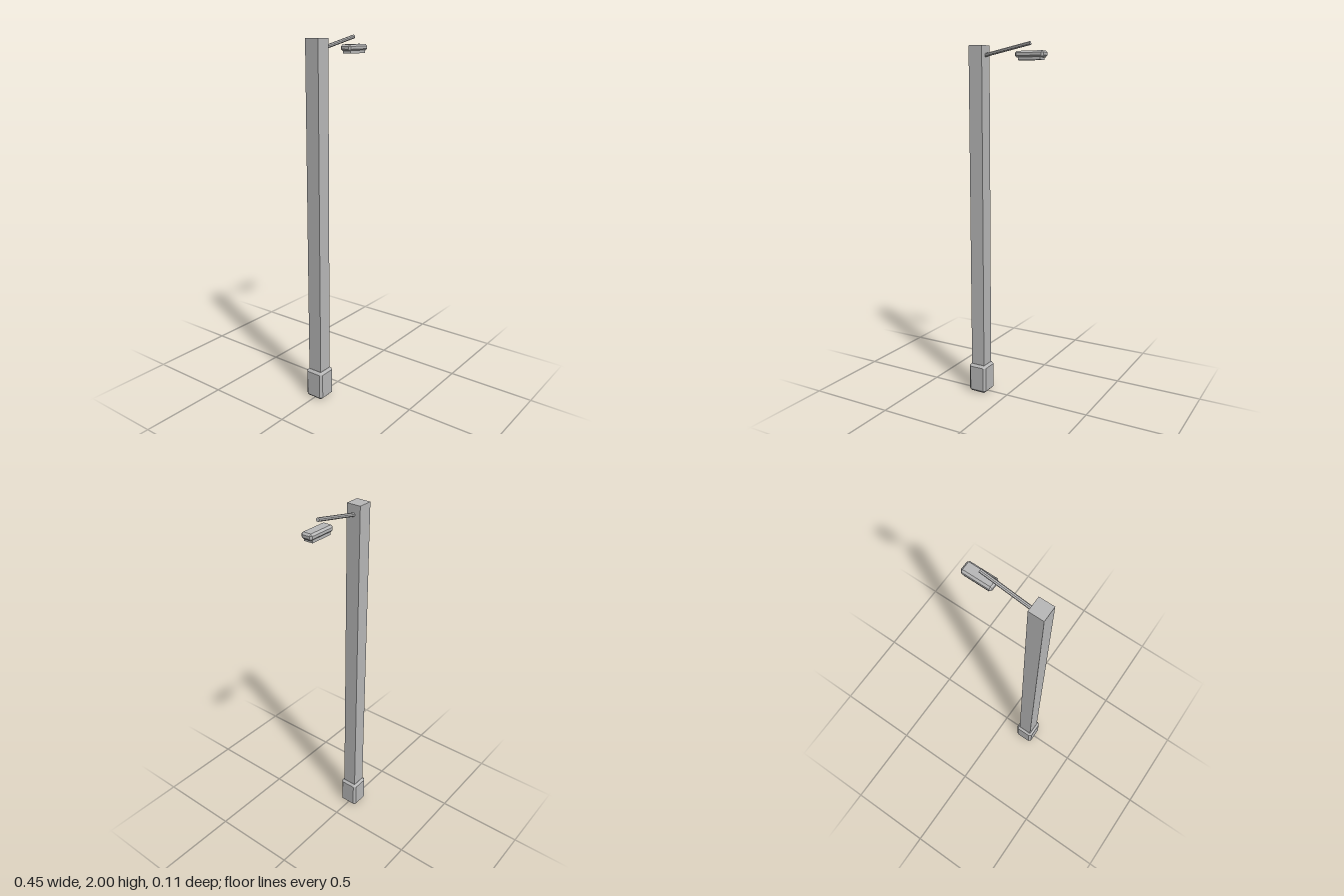
import * as THREE from 'three';
import { ConvexGeometry } from 'three/addons/geometries/ConvexGeometry.js';

// Box with every edge cut by a flat chamfer
function chamferBox(w, h, d, c) {
  const points = [];
  for (const x of [-1, 1]) for (const y of [-1, 1]) for (const z of [-1, 1]) {
    const [X, Y, Z] = [x * w / 2, y * h / 2, z * d / 2];
    points.push(
      new THREE.Vector3(X, Y - y * c, Z - z * c),
      new THREE.Vector3(X - x * c, Y, Z - z * c),
      new THREE.Vector3(X - x * c, Y - y * c, Z)
    );
  }
  return new ConvexGeometry(points);
}

export function createModel() {
  const group = new THREE.Group();
  const grey = new THREE.MeshStandardMaterial({ color: 0xb8b8b8, flatShading: true });
  grey.name = 'grey metal';

  const add = (name, geometry, x, y) => {
    const mesh = new THREE.Mesh(geometry, grey);
    mesh.name = name;
    mesh.position.set(x, y, 0);
    group.add(mesh);
    return mesh;
  };

  // Post standing in a chamfered base
  const postX = -0.172;
  add('base', chamferBox(0.112, 0.17, 0.112, 0.0134), postX, 0.085);
  add('pole', new THREE.BoxGeometry(0.082, 1.887, 0.082), postX, 1.0435);

  // Sloping arm, rooted just inside the pole
  const start = new THREE.Vector3(-0.14, 1.934, 0);
  const end = new THREE.Vector3(0.139, 1.99, 0);
  const along = end.clone().sub(start);
  const armGeometry = new THREE.CylinderGeometry(0.01, 0.01, along.length(), 8);
  armGeometry.rotateY(Math.PI / 8);
  const middle = start.clone().add(end).multiplyScalar(0.5);
  const arm = add('arm', armGeometry, middle.x, middle.y);
  arm.quaternion.setFromUnitVectors(new THREE.Vector3(0, 1, 0), along.normalize());

  // Lamp head with its lens underneath
  add('lampHead', chamferBox(0.165, 0.034, 0.065, 0.0098), 0.1435, 1.934);
  add('lens', new THREE.BoxGeometry(0.13, 0.02, 0.05), 0.1435, 1.914);

  return group;
}
